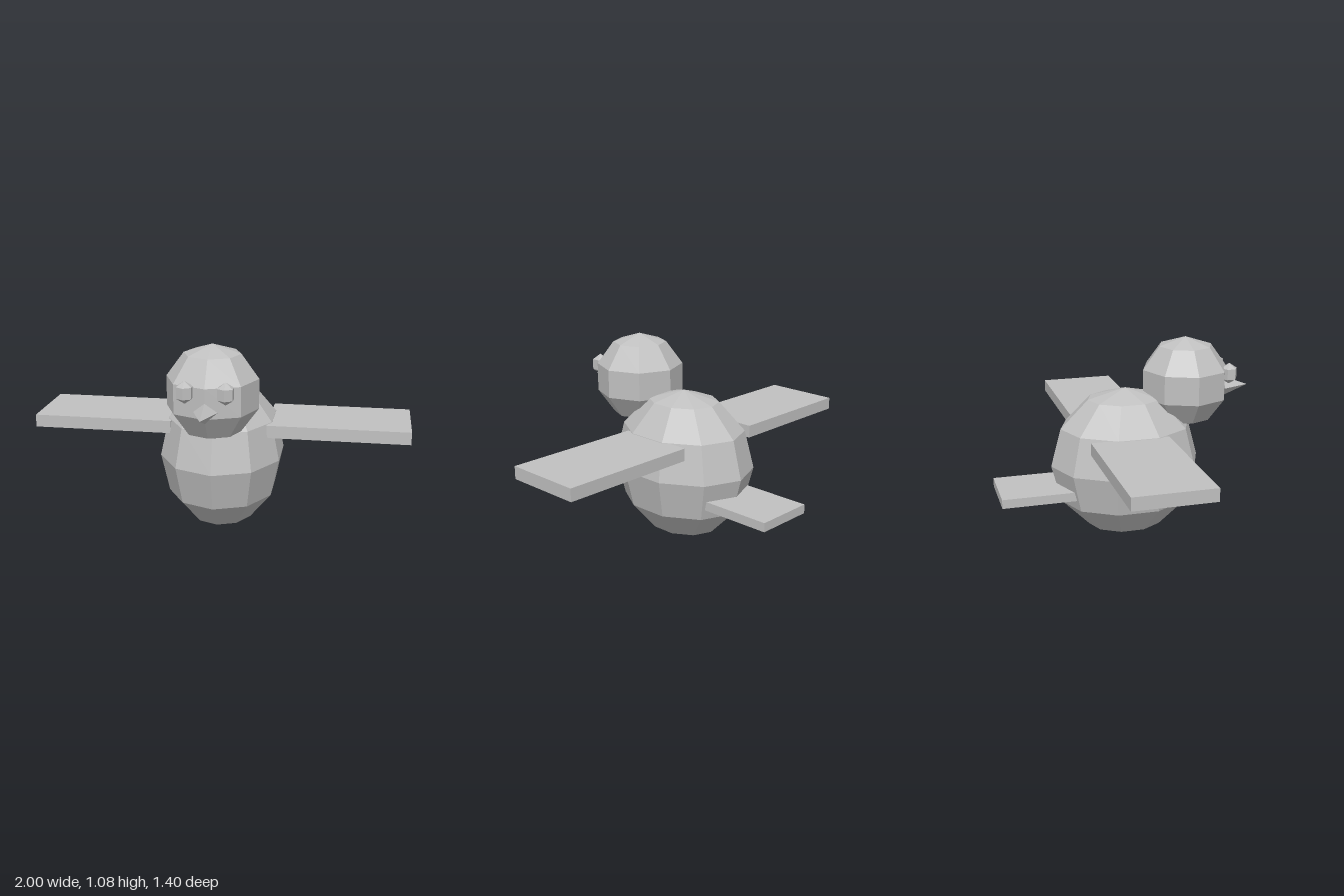
import * as THREE from 'three';

export function createModel() {
  const bird = new THREE.Group();
  bird.name = 'bird';
  const grey = new THREE.MeshStandardMaterial({ color: 0xc0c0c0, flatShading: true });
  grey.name = 'plain grey';

  function add(name, geometry, x, y, z) {
    const mesh = new THREE.Mesh(geometry, grey);
    mesh.name = name;
    mesh.position.set(x, y, z);
    bird.add(mesh);
    return mesh;
  }

  // Low-poly ball with a column of corners facing the front
  const ball = (radius, sides, rows) =>
    new THREE.SphereGeometry(radius, sides, rows).rotateY(Math.PI / 2);

  // Plump body, narrower across than it is long
  add('body', ball(1, 10, 6).scale(0.336, 0.412, 0.412), 0, 0.412, 0);

  // Head, pushed forward over the chest
  add('head', ball(0.247, 8, 5), 0, 0.835, 0.335);

  // Four-sided beak, its base sunk into the head
  add('beak', new THREE.ConeGeometry(0.077, 0.2, 4).rotateX(Math.PI / 2), 0, 0.79, 0.6);

  // Eyes and flat outstretched wings, one of each per side
  for (const [side, s] of [['left', 1], ['right', -1]]) {
    add(side + 'Eye', ball(0.057, 6, 3).scale(0.87, 1, 0.87), s * 0.1, 0.888, 0.552);
    add(side + 'Wing', new THREE.BoxGeometry(0.745, 0.067, 0.417), s * 0.6275, 0.582, -0.042);
  }

  // Flat tail
  add('tail', new THREE.BoxGeometry(0.327, 0.049, 0.455), 0, 0.29, -0.4775);

  return bird;
}
